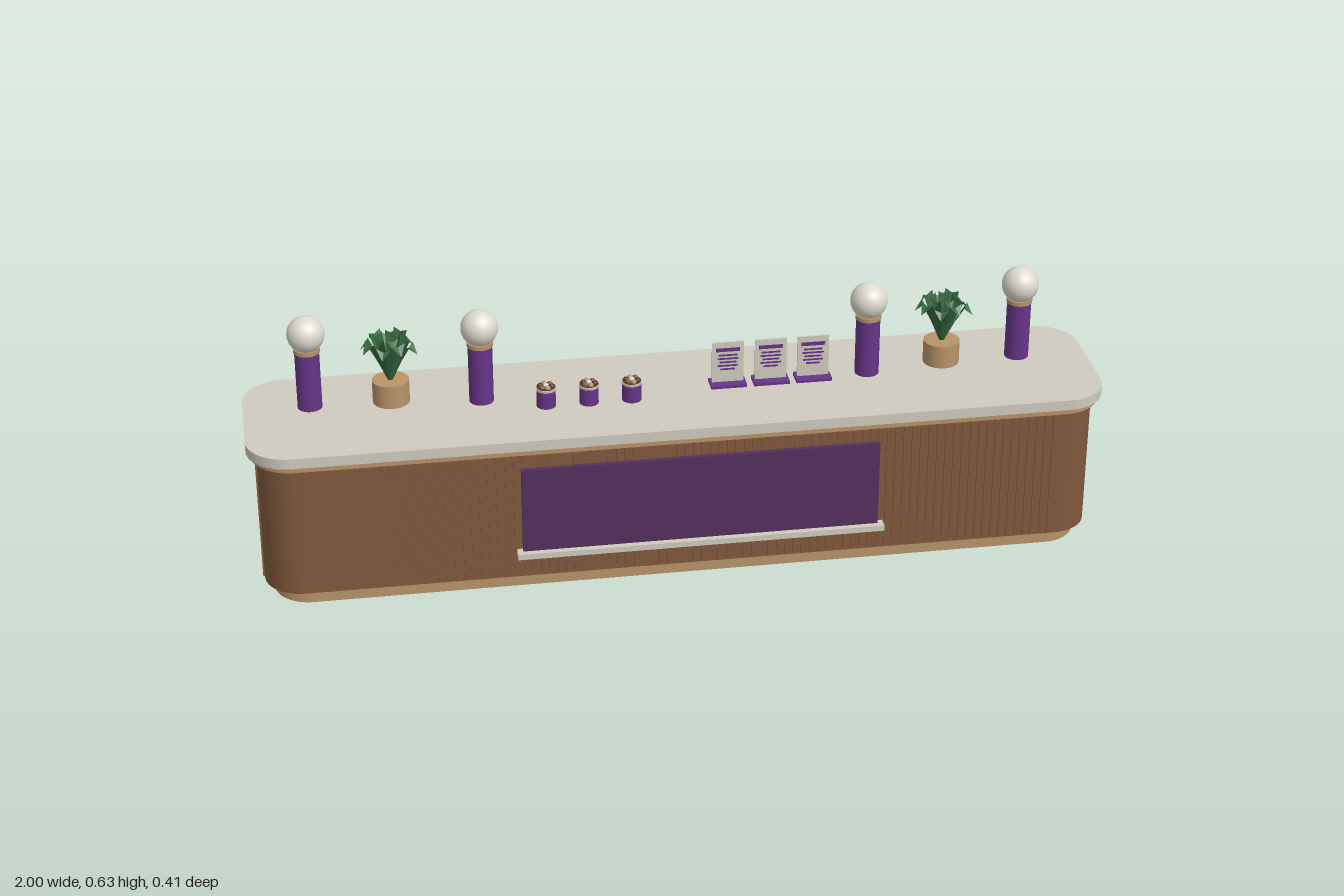
import * as THREE from 'three';
import { mergeGeometries } from 'three/addons/utils/BufferGeometryUtils.js';

const mat = (name, color, extra = {}) => {
  const m = new THREE.MeshStandardMaterial({ color, ...extra });
  m.name = name;
  return m;
};

export function createModel() {
  const root = new THREE.Group();
  root.name = 'barCounter';
  const wood = mat('walnut', 0x80593c);
  const tan = mat('paleWood', 0xb8946a);
  const stone = mat('stone', 0xcfcbbf);
  const globe = mat('globeWhite', 0xdedad0);
  const purple = mat('purple', 0x673587);
  const plum = mat('plum', 0x55305f);
  const green = mat('leafGreen', 0x37683f, { side: THREE.DoubleSide, flatShading: true });
  const brown = mat('chocolate', 0x5a3a28);

  const add = (parent, name, geo, material, x = 0, y = 0, z = 0) => {
    const m = new THREE.Mesh(geo, material);
    m.name = name;
    m.position.set(x, y, z);
    parent.add(m);
    return m;
  };
  const group = (name, x, y, z) => {
    const g = new THREE.Group();
    g.name = name;
    g.position.set(x, y, z);
    root.add(g);
    return g;
  };

  // Horizontal slab with rounded corners, from y0 to y1
  const slab = (hx, zBack, zFront, r, y0, y1) => {
    const s = new THREE.Shape();
    const a = -zFront, b = -zBack;
    s.moveTo(-hx + r, a);
    s.lineTo(hx - r, a);
    s.absarc(hx - r, a + r, r, -Math.PI / 2, 0);
    s.absarc(hx - r, b - r, r, 0, Math.PI / 2);
    s.absarc(-hx + r, b - r, r, Math.PI / 2, Math.PI);
    s.absarc(-hx + r, a + r, r, Math.PI, Math.PI * 1.5);
    const g = new THREE.ExtrudeGeometry(s, { depth: y1 - y0, bevelEnabled: false, curveSegments: 8 });
    return g.rotateX(-Math.PI / 2).translate(0, y0, 0);
  };

  // Counter body
  add(root, 'plinth', slab(0.955, -0.173, 0.16, 0.085, 0, 0.036), tan);
  add(root, 'body', slab(0.977, -0.189, 0.176, 0.09, 0.034, 0.358), wood);
  add(root, 'trimBand', slab(0.99, -0.2, 0.186, 0.096, 0.357, 0.371), tan);
  add(root, 'countertop', slab(1, -0.205, 0.191, 0.1, 0.37, 0.395), stone);

  // Vertical slats on the front and both ends
  const slats = [];
  for (let i = 0; i < 89; i++) {
    slats.push(new THREE.BoxGeometry(0.012, 0.315, 0.01).translate((i - 44) * 0.0198, 0.195, 0.175));
  }
  for (const side of [-1, 1]) {
    for (let i = 0; i < 10; i++) {
      slats.push(new THREE.BoxGeometry(0.01, 0.315, 0.012).translate(side * 0.976, 0.195, 0.0815 - i * 0.0196));
    }
  }
  add(root, 'slats', mergeGeometries(slats), wood);

  // Front panel with its ledge
  add(root, 'frontPanel', new THREE.BoxGeometry(0.835, 0.215, 0.011), plum, 0.033, 0.214, 0.187);
  add(root, 'panelLedge', new THREE.BoxGeometry(0.862, 0.014, 0.029), stone, 0.033, 0.102, 0.1925);

  // Globe lamps
  for (const [x, z] of [[-0.845, -0.058], [-0.45, -0.028], [0.463, -0.028], [0.835, -0.058]]) {
    const g = group('globeLamp', x, 0.395, z);
    add(g, 'lampColumn', new THREE.CylinderGeometry(0.0285, 0.0285, 0.143, 24), purple, 0, 0.0715);
    add(g, 'lampCollar', new THREE.CylinderGeometry(0.0305, 0.0305, 0.01, 24), tan, 0, 0.147);
    add(g, 'lampGlobe', new THREE.SphereGeometry(0.0435, 28, 18), globe, 0, 0.187);
  }

  // Folded leaf: rises from the pot, spreads, then droops at the tip
  const leaf = (angle, reach, height, width) => {
    const rows = [[0.08, 0, 0.15], [0.42, 0.55, 0.8], [0.78, 1, 1], [1.05, 0.78, 0.03]];
    const pos = [], idx = [];
    rows.forEach(([r, h, w], i) => {
      const x = r * reach, y = h * height, hw = w * width;
      pos.push(x, y, -hw, x, y - hw * 0.4, 0, x, y, hw);
      if (i) {
        const p = (i - 1) * 3;
        for (const k of [p, p + 1]) idx.push(k, k + 1, k + 3, k + 1, k + 4, k + 3);
      }
    });
    const g = new THREE.BufferGeometry();
    g.setAttribute('position', new THREE.Float32BufferAttribute(pos, 3));
    g.setIndex(idx);
    g.computeVertexNormals();
    return g.rotateY(angle);
  };

  // Potted plants
  for (const x of [-0.657, 0.65]) {
    const g = group('pottedPlant', x, 0.395, -0.058);
    add(g, 'pot', new THREE.CylinderGeometry(0.043, 0.043, 0.056, 24), tan, 0, 0.028);
    const leaves = [];
    for (let i = 0; i < 9; i++) {
      leaves.push(leaf(i * Math.PI * 2 / 9 + 0.2, 0.058 + (i % 3) * 0.005, 0.098 + (i % 2) * 0.012, 0.018));
    }
    for (let i = 0; i < 5; i++) leaves.push(leaf(i * Math.PI * 2 / 5, 0.034, 0.113, 0.014));
    add(g, 'foliage', mergeGeometries(leaves), green, 0, 0.056);
  }

  // Small cups filled with round sweets
  for (const x of [-0.305, -0.205, -0.105]) {
    const g = group('sweetCup', x, 0.395, 0.022);
    add(g, 'cup', new THREE.CylinderGeometry(0.0225, 0.0225, 0.043, 20), purple, 0, 0.0215);
    add(g, 'cupRim', new THREE.CylinderGeometry(0.0245, 0.0235, 0.006, 20), stone, 0, 0.045);
    add(g, 'cupFilling', new THREE.CylinderGeometry(0.022, 0.022, 0.002, 20), brown, 0, 0.0485);
    for (let i = 0; i < 6; i++) {
      const a = i * Math.PI / 3 + 0.3;
      add(g, 'sweet', new THREE.SphereGeometry(0.007, 10, 8), [brown, tan, wood][i % 3],
        Math.cos(a) * 0.0135, 0.05, Math.sin(a) * 0.0135);
    }
    add(g, 'sweet', new THREE.SphereGeometry(0.007, 10, 8), globe, 0, 0.051, 0);
  }

  // Menu cards on purple feet, with plain stripes
  for (const x of [0.128, 0.23, 0.331]) {
    const g = group('menuCard', x, 0.395, -0.018);
    add(g, 'cardFoot', new THREE.BoxGeometry(0.085, 0.007, 0.046), purple, 0, 0.0035);
    add(g, 'card', new THREE.BoxGeometry(0.075, 0.103, 0.005), stone, 0, 0.0575, -0.002);
    add(g, 'cardHeading', new THREE.BoxGeometry(0.056, 0.009, 0.002), purple, 0, 0.09, 0.001);
    [0.044, 0.05, 0.04, 0.048, 0.034].forEach((w, i) =>
      add(g, 'cardStripe', new THREE.BoxGeometry(w, 0.004, 0.002), purple, 0, 0.076 - i * 0.009, 0.001));
  }
  return root;
}
